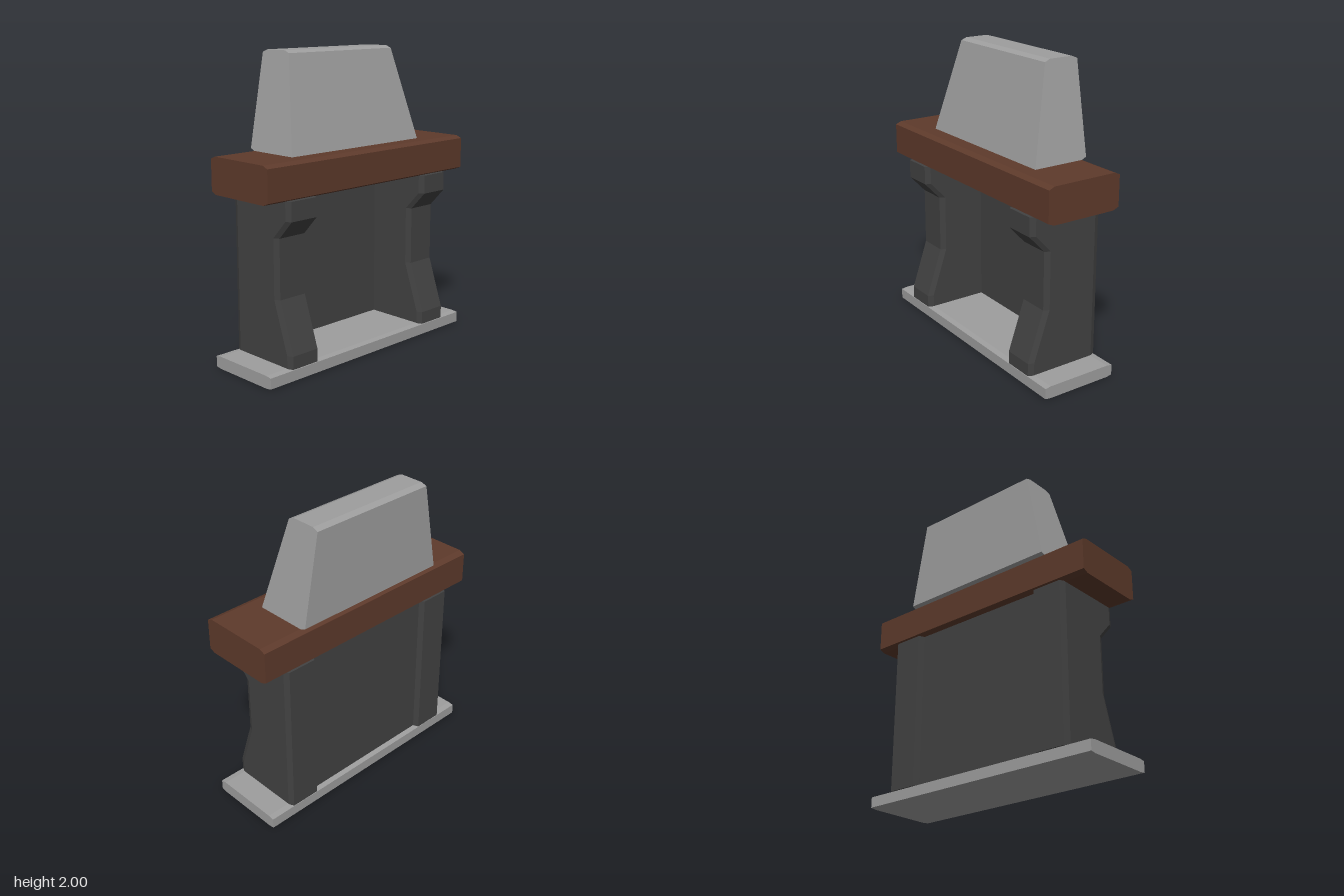
import * as THREE from 'three';

const stone = new THREE.MeshStandardMaterial({ name: 'paleStone', color: 0x9e9e9e });
const wood = new THREE.MeshStandardMaterial({ name: 'brownWood', color: 0x5e3a2b });
const slate = new THREE.MeshStandardMaterial({ name: 'darkSlate', color: 0x424242 });

// Skins a list of convex rings with flat faces; rings run counter-clockwise about the loft direction.
function loft(rings) {
  const pos = [];
  const tri = (a, b, c) => pos.push(...a, ...b, ...c);
  const n = rings[0].length;
  for (let r = 0; r < rings.length - 1; r++) {
    const a = rings[r], b = rings[r + 1];
    for (let i = 0; i < n; i++) {
      const j = (i + 1) % n;
      tri(a[i], a[j], b[j]);
      tri(a[i], b[j], b[i]);
    }
  }
  const first = rings[0], last = rings[rings.length - 1];
  for (let i = 1; i < n - 1; i++) {
    tri(first[0], first[i + 1], first[i]);
    tri(last[0], last[i], last[i + 1]);
  }
  const g = new THREE.BufferGeometry();
  g.setAttribute('position', new THREE.Float32BufferAttribute(pos, 3));
  g.computeVertexNormals();
  return g;
}

// Runs a [y, z] profile from -x to +x, with a half width that depends on height.
function loftAlongX(profile, halfWidth) {
  return loft([-1, 1].map(s => profile.map(([y, z]) => [s * halfWidth(y), y, z])));
}

const BACK = -0.265, FRONT = 0.265, CHAMFER = 0.04;

// Slab with bevelled long edges
function slab(y0, y1, bevel) {
  const zi = FRONT - CHAMFER;
  return loftAlongX([
    [y1, -zi], [y1, zi], [y1 - bevel, FRONT], [y0 + bevel, FRONT],
    [y0, zi], [y0, -zi], [y0 + bevel, BACK], [y1 - bevel, BACK],
  ], () => 0.888);
}

// Side pier: chamfered section whose front follows the corbel curve
function pier(x0, x1) {
  const c = 0.017, d = 0.037;
  const front = [[0.08, 0.265], [0.165, 0.265], [0.5, 0.152], [0.89, 0.152], [1.01, 0.265], [1.135, 0.265]];
  return loft(front.map(([y, f]) => [
    [x0, y, f - d], [x0 + c, y, f], [x1 - c, y, f], [x1, y, f - d],
    [x1, y, BACK + d], [x1 - c, y, BACK], [x0 + c, y, BACK], [x0, y, BACK + d],
  ]));
}

export function createModel() {
  const group = new THREE.Group();
  group.name = 'fireplace';
  const add = (name, geometry, material) => {
    const mesh = new THREE.Mesh(geometry, material);
    mesh.name = name;
    group.add(mesh);
    return mesh;
  };

  add('hearthSlab', slab(0, 0.082, 0.006), stone);
  add('mantelShelf', slab(1.132, 1.37, 0.017), wood);

  add('leftPier', pier(0.485, 0.722), slate);
  add('rightPier', pier(-0.722, -0.485), slate);

  // Back wall between the piers
  add('backPanel', new THREE.BoxGeometry(1.0, 1.055, 0.045), slate).position.set(0, 0.6075, -0.206);

  // Tapered chimney hood with a vertical back
  const hood = [
    [2.0, -0.225], [2.0, -0.058], [1.984, -0.02], [1.37, 0.128],
    [1.368, -0.225], [1.384, BACK], [1.984, BACK],
  ];
  add('chimneyHood', loftAlongX(hood, y => 0.575 - (y - 1.37) * 0.187), stone);

  return group;
}
